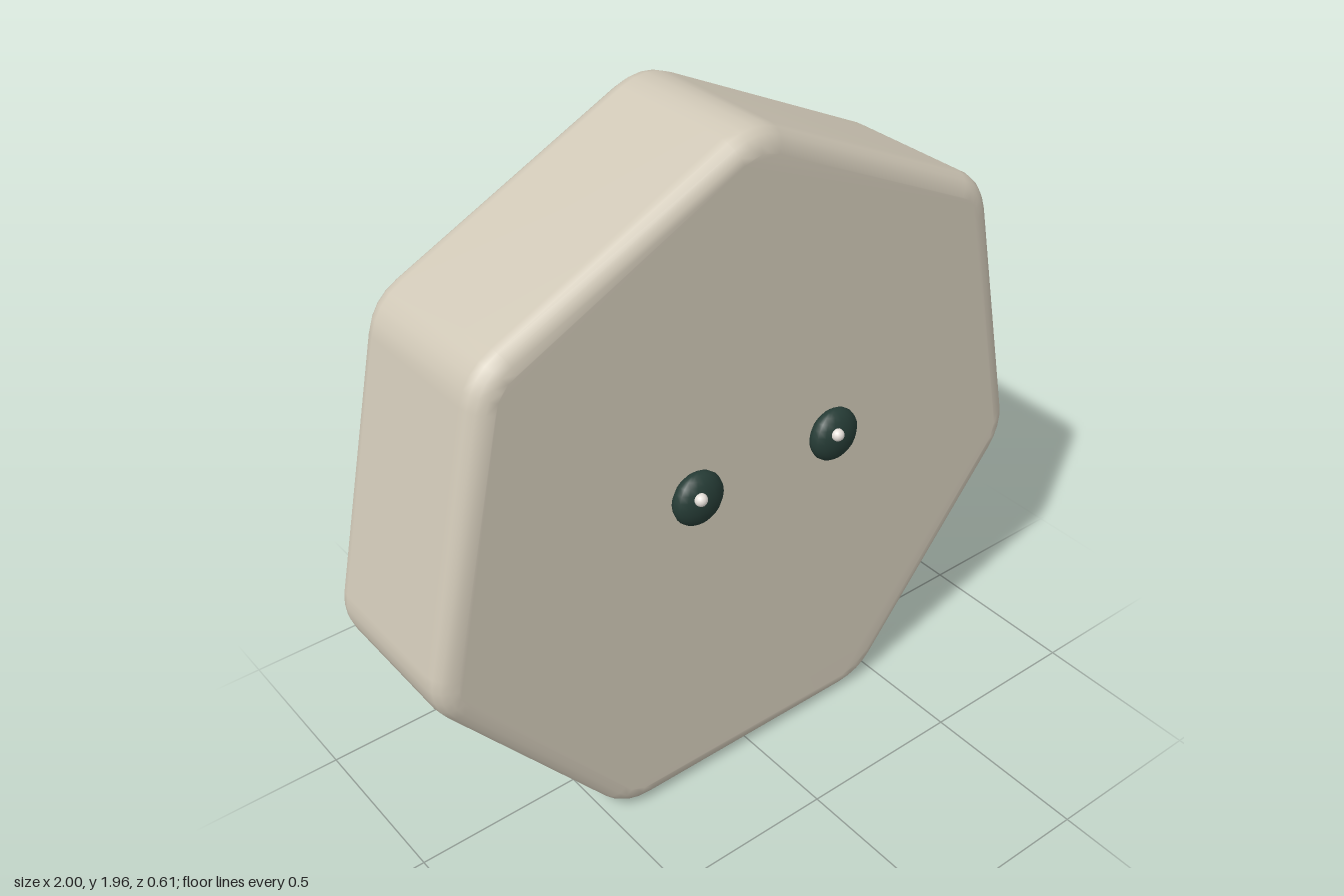
import * as THREE from 'three';
import { mergeVertices } from 'three/addons/utils/BufferGeometryUtils.js';

const SIDES = 7, RADIUS = 1.04, CENTER_Y = 0.94;
const BACK_Z = -0.305, FRONT_Z = 0.205, BEVEL = 0.06;

// Regular heptagon, point up, with softly rounded corners
function roundedHeptagon(cut) {
  const corner = (i) => {
    const a = Math.PI / 2 + (i * 2 * Math.PI) / SIDES;
    return new THREE.Vector2(Math.cos(a) * RADIUS, Math.sin(a) * RADIUS);
  };
  const toward = (from, to) => to.clone().sub(from).setLength(cut).add(from);
  const points = [];
  for (let i = 0; i < SIDES; i++) {
    const c = corner(i);
    const bend = new THREE.QuadraticBezierCurve(toward(c, corner(i - 1)), c, toward(c, corner(i + 1)));
    points.push(...bend.getPoints(4));
  }
  return new THREE.Shape(points);
}

function ellipsoid(name, material, radius, depth, x, y, z) {
  const mesh = new THREE.Mesh(new THREE.SphereGeometry(radius, 16, 12), material);
  mesh.name = name;
  mesh.scale.z = depth / radius;
  mesh.position.set(x, y, z);
  return mesh;
}

export function createModel() {
  const model = new THREE.Group();
  model.name = 'heptagonFigure';
  const bodyMaterial = new THREE.MeshStandardMaterial({ color: 0xcfc7b6 });
  const eyeMaterial = new THREE.MeshStandardMaterial({ color: 0x263c36 });
  const glintMaterial = new THREE.MeshStandardMaterial({ color: 0xe6e0da });

  // Thick slab body with rounded rims and smooth normals
  let slab = new THREE.ExtrudeGeometry(roundedHeptagon(0.085), {
    depth: FRONT_Z - BACK_Z - 2 * BEVEL,
    bevelSize: BEVEL, bevelThickness: BEVEL, bevelOffset: -BEVEL, bevelSegments: 4,
  });
  slab.deleteAttribute('uv');
  slab.deleteAttribute('normal');
  slab = mergeVertices(slab, 1e-4);
  slab.computeVertexNormals();
  slab.translate(0, CENTER_Y, BACK_Z + BEVEL);
  const body = new THREE.Mesh(slab, bodyMaterial);
  body.name = 'body';
  model.add(body);

  // Flattened eyes, each with a small glint on the same side
  for (const [side, x] of [['left', 0.232], ['right', -0.232]]) {
    model.add(ellipsoid(side + 'Eye', eyeMaterial, 0.078, 0.042, x, 1.037, 0.249));
    model.add(ellipsoid(side + 'EyeGlint', glintMaterial, 0.018, 0.018, x - 0.02, 1.062, 0.287));
  }
  return model;
}
